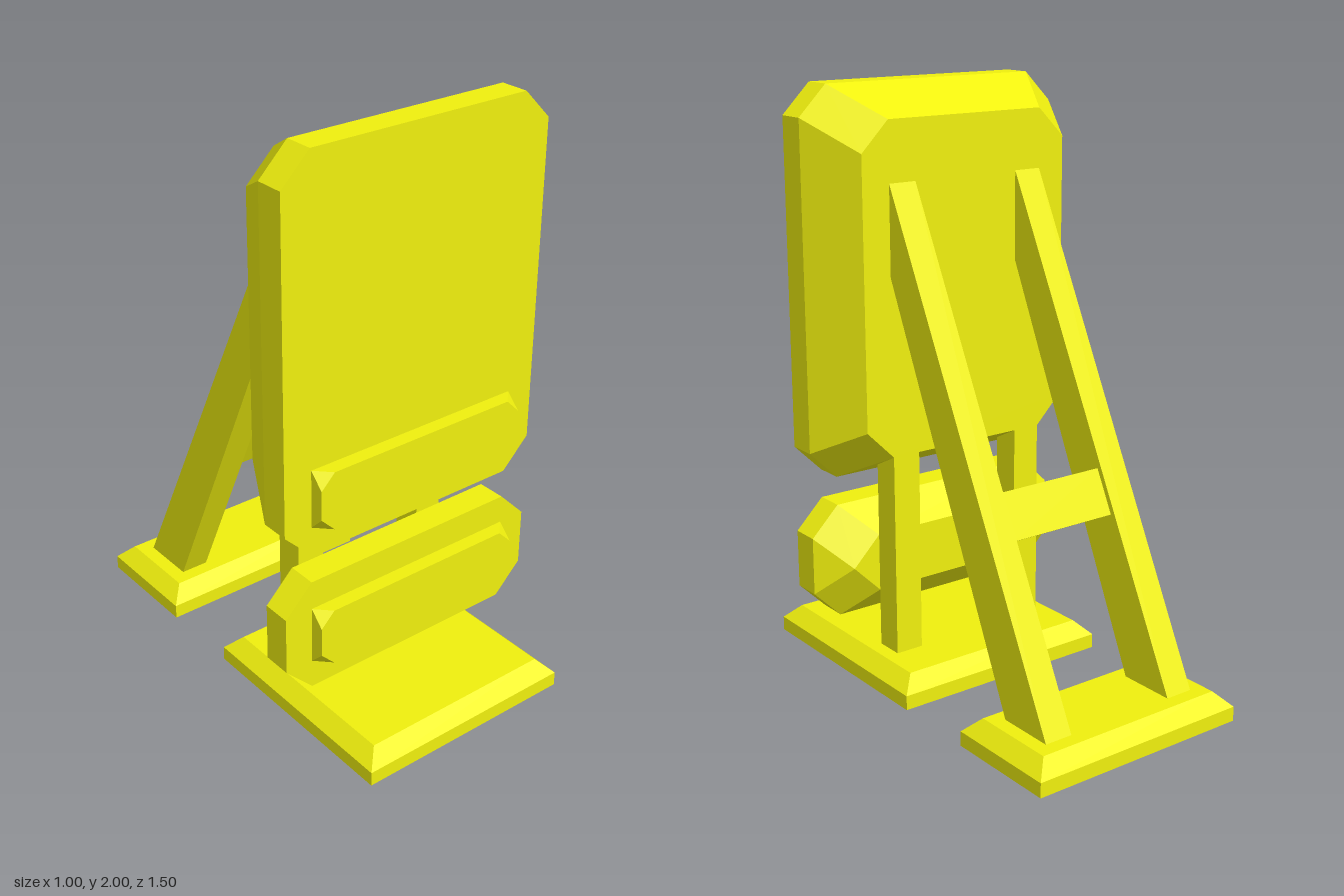
import * as THREE from 'three';

const material = new THREE.MeshStandardMaterial({ color: 0xf0f00e, flatShading: true });

// Rectangle with cut corners, counter-clockwise seen from +z
function ring(halfW, y0, y1, cut, z) {
  const w = halfW, c = cut;
  return [
    [w - c, y0], [w, y0 + c], [w, y1 - c], [w - c, y1],
    [c - w, y1], [-w, y1 - c], [-w, y0 + c], [c - w, y0],
  ].map(([x, y]) => [x, y, z]);
}

// Closed solid through rings ordered by rising z
function loft(rings) {
  const n = rings[0].length, last = (rings.length - 1) * n, index = [];
  for (let r = 0; r < last; r += n) {
    for (let j = 0; j < n; j++) {
      const k = (j + 1) % n;
      index.push(r + j, r + k, r + n + k, r + j, r + n + k, r + n + j);
    }
  }
  for (let j = 1; j < n - 1; j++) {
    index.push(0, j + 1, j, last, last + j, last + j + 1);
  }
  const g = new THREE.BufferGeometry();
  g.setAttribute('position', new THREE.Float32BufferAttribute(rings.flat(2), 3));
  g.setIndex(index);
  const flat = g.toNonIndexed();
  flat.computeVertexNormals();
  return flat;
}

// Side outline given as [z, y] points, extruded across x and centred
function sidePrism(points, width) {
  const shape = new THREE.Shape(points.map(([z, y]) => new THREE.Vector2(z, y)));
  const g = new THREE.ExtrudeGeometry(shape, { depth: width, bevelEnabled: false });
  return g.translate(0, 0, -width / 2).rotateY(-Math.PI / 2);
}

export function createModel() {
  const model = new THREE.Group();
  model.name = 'padStand';
  const add = (name, geometry, x = 0, y = 0, z = 0) => {
    const mesh = new THREE.Mesh(geometry, material);
    mesh.name = name;
    mesh.position.set(x, y, z);
    model.add(mesh);
  };

  // Bevelled floor plates
  const plate = (halfDepth) => loft([
    ring(0.4, -halfDepth, halfDepth, 0, 0),
    ring(0.4, -halfDepth, halfDepth, 0, 0.05),
    ring(0.35, 0.05 - halfDepth, halfDepth - 0.05, 0, 0.1),
  ]).rotateX(-Math.PI / 2);
  add('frontBase', plate(0.4), 0, 0, 0.35);
  add('rearBase', plate(0.2), 0, 0, -0.55);

  // Octagonal panels tapering towards the back
  const panel = (y0, y1, zBack) => loft([
    ring(0.4, y0 + 0.1, y1 - 0.1, 0.1, zBack),
    ring(0.5, y0, y1, 0.1, 0.35),
    ring(0.5, y0, y1, 0.1, 0.45),
  ]);
  add('upperPanel', panel(0.7, 2, 0.15));
  add('lowerPanel', panel(0.2, 0.6, 0.25));

  // Raised bars with clipped front corners
  for (const [name, y] of [['upperBar', 0.8], ['lowerBar', 0.3]]) {
    add(name, loft([ring(0.4, y, y + 0.2, 0, 0.45), ring(0.4, y, y + 0.2, 0.05, 0.5)]));
  }

  // Upright posts and sloping rear struts
  for (const [side, x] of [['left', 0.25], ['right', -0.25]]) {
    add(side + 'Post', new THREE.BoxGeometry(0.1, 0.7, 0.1), x, 0.45, 0.2);
    add(side + 'Strut', sidePrism([[-0.65, 0.1], [-0.45, 0.1], [0.15, 1.4], [0.15, 1.7]], 0.1), x);
  }

  // Tilted brace between the struts
  add('crossBrace', sidePrism([[-0.36, 0.64], [-0.27, 0.595], [-0.2, 0.735], [-0.29, 0.78]], 0.4));

  return model;
}
